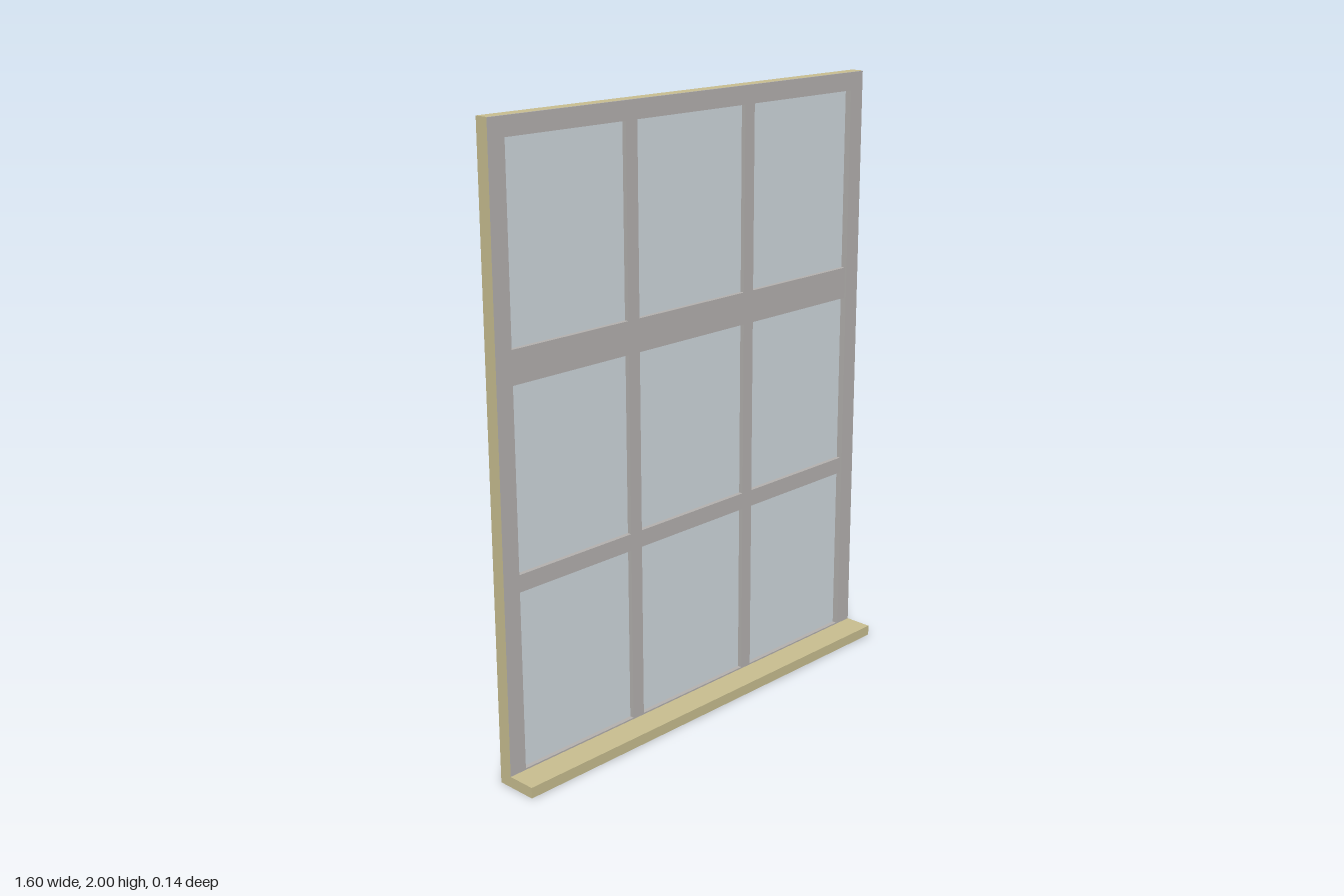
import * as THREE from 'three';

export function createModel() {
  const group = new THREE.Group();
  const mat = (color) => new THREE.MeshStandardMaterial({ color });
  const tan = mat(0xc8be90), grey = mat(0xb4b1af), glass = mat(0xcfd8dd);

  const add = (name, geometry, material) => {
    const mesh = new THREE.Mesh(geometry, material);
    mesh.name = name;
    group.add(mesh);
    return mesh;
  };
  const box = (name, x0, x1, y0, y1, z0, z1, material) =>
    add(name, new THREE.BoxGeometry(x1 - x0, y1 - y0, z1 - z0), material)
      .position.set((x0 + x1) / 2, (y0 + y1) / 2, (z0 + z1) / 2);
  const rect = (P, x0, x1, y0, y1) =>
    new P([[x0, y0], [x1, y0], [x1, y1], [x0, y1]].map(([x, y]) => new THREE.Vector2(x, y)));

  const back = -0.07, front = -0.025, barFront = -0.032, glassFront = -0.047;
  const sillTop = 0.035;

  // Tan backing box, open at the front (the +z face is dropped)
  const shell = new THREE.BoxGeometry(1.6, 2, front - back);
  const index = Array.from(shell.index.array);
  index.splice(24, 6);
  shell.clearGroups();
  shell.setIndex(index);
  add('casing', shell, tan).position.set(0, 1, (front + back) / 2);

  // Projecting sill
  box('sill', -0.8, 0.8, 0, sillTop, front, 0.07, tan);

  // Outer grey frame with one large opening, set just inside the casing
  const outline = rect(THREE.Shape, -0.799, 0.799, 0.001, 1.999);
  outline.holes.push(rect(THREE.Path, -0.74, 0.74, sillTop - 0.01, 1.94));
  const frame = new THREE.ExtrudeGeometry(outline, { depth: 0.04, bevelEnabled: false });
  add('frame', frame, grey).position.z = front - 0.04;

  // Glazing bars: one slab with nine pane openings
  const columns = [[-0.74, -0.28], [-0.234, 0.232], [0.275, 0.74]];
  const rows = [[sillTop, 0.61], [0.665, 1.24], [1.345, 1.94]];
  const bars = rect(THREE.Shape, -0.745, 0.745, 0.02, 1.945);
  for (const [x0, x1] of columns)
    for (const [y0, y1] of rows) {
      bars.holes.push(rect(THREE.Path, x0, x1, y0, y1));
      box('pane', x0, x1, y0, y1, glassFront - 0.01, glassFront, glass);
    }
  const barGeometry = new THREE.ExtrudeGeometry(bars, { depth: 0.03, bevelEnabled: false });
  add('glazingBars', barGeometry, grey).position.z = barFront - 0.03;

  return group;
}
